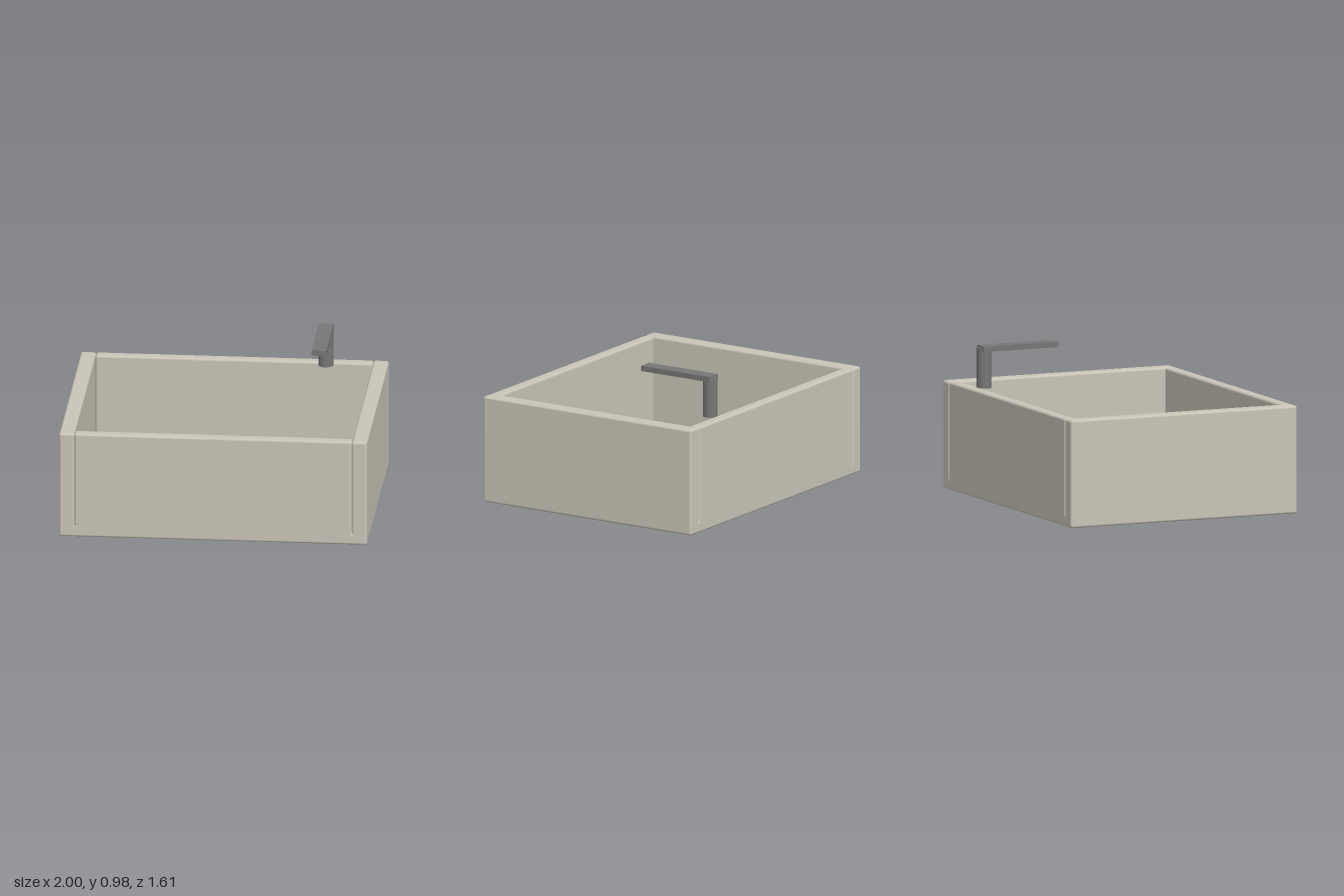
import * as THREE from 'three';
import { RoundedBoxGeometry } from 'three/addons/geometries/RoundedBoxGeometry.js';

export function createModel() {
  const model = new THREE.Group();
  model.name = 'basinWithTap';

  const ceramic = new THREE.MeshStandardMaterial({ name: 'warm grey ceramic', color: 0xc8c4b7 });
  const metal = new THREE.MeshStandardMaterial({ name: 'dark grey metal', color: 0x767676 });

  function add(name, geometry, material, x, y, z, parent = model) {
    const mesh = new THREE.Mesh(geometry, material);
    mesh.name = name;
    mesh.position.set(x, y, z);
    parent.add(mesh);
    return mesh;
  }

  // Overall basin size and wall thicknesses
  const W = 2, H = 0.705, D = 1.61;
  const sideT = 0.1, endT = 0.075, floorT = 0.08, r = 0.016;

  // Floor slab, running under all four walls
  add('basinFloor', new RoundedBoxGeometry(W, floorT, D, 3, r), ceramic, 0, floorT / 2, 0);

  // Mirrored walls: full-depth sides, with front and back fitted between them
  for (const s of [1, -1]) {
    add(s > 0 ? 'leftWall' : 'rightWall',
      new RoundedBoxGeometry(sideT, H, D, 3, r), ceramic, s * (W - sideT) / 2, H / 2, 0);
    add(s > 0 ? 'frontWall' : 'backWall',
      new RoundedBoxGeometry(W - 2 * sideT, H, endT, 3, r), ceramic, 0, H / 2, s * (D - endT) / 2);
  }

  // Tap: round post with a flat spout reaching forward
  const tap = new THREE.Group();
  tap.name = 'tap';
  tap.position.set(0.6, 0, 0);
  model.add(tap);
  add('tapPost', new THREE.CylinderGeometry(0.048, 0.048, 0.265, 24), metal, 0, 0.8325, -0.692, tap);
  add('tapSpout', new THREE.BoxGeometry(0.097, 0.035, 0.533), metal, 0, 0.9575, -0.4535, tap);

  return model;
}
